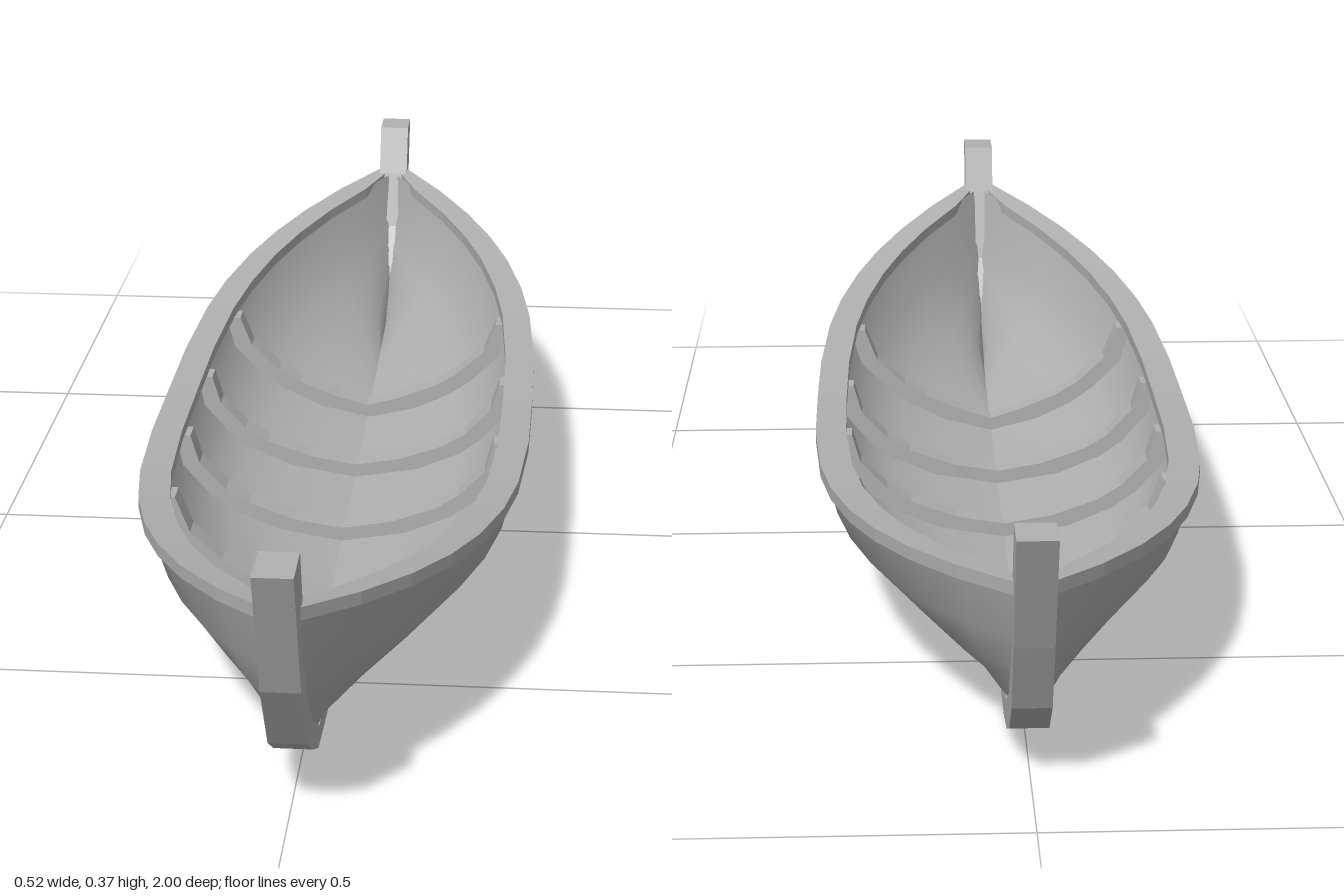
import * as THREE from 'three';

const wood = new THREE.MeshStandardMaterial({ color: 0xb0b0b0, side: THREE.DoubleSide });
wood.name = 'plain grey wood';

// Plank lines from keel to sheer: midship half width and height, then where each meets the stems
const LEVELS = [
  { x: 0.018, y: 0.020, front: [0.74, 0.040], back: [-0.75, 0.035], p: 2.0 },
  { x: 0.113, y: 0.038, front: [0.80, 0.080], back: [-0.82, 0.070], p: 1.8 },
  { x: 0.175, y: 0.067, front: [0.85, 0.125], back: [-0.87, 0.115], p: 2.0 },
  { x: 0.207, y: 0.094, front: [0.88, 0.160], back: [-0.89, 0.145], p: 2.2 },
  { x: 0.242, y: 0.139, front: [0.91, 0.215], back: [-0.92, 0.190], p: 2.6 },
  { x: 0.253, y: 0.197, front: [0.94, 0.302], back: [-0.94, 0.263], p: 3.0 },
];
const TOP = LEVELS.length - 1;
const STATIONS = [-1, -0.9, -0.8, -0.7, -0.6, -0.48, -0.36, -0.18, 0, 0.18, 0.36, 0.48, 0.6, 0.7, 0.8, 0.9, 1];

// Point on one plank line; t runs from the back stem (-1) to the front stem (1)
function hullPoint(i, t, inset = 0) {
  const l = LEVELS[i];
  const a = Math.min(1, Math.abs(t));
  const [endZ, endY] = t < 0 ? l.back : l.front;
  const x = 0.012 + (l.x - 0.012) * (1 - a ** l.p);
  const rise = a ** (i === TOP ? 2 : 2.6);
  const up = inset * (1 - i / TOP) * 0.8;
  return [Math.max(0, x - inset), l.y + (endY - l.y) * rise + up, a * endZ * (1 - inset)];
}

// Full cross-section from right sheer, under the keel, to left sheer
function section(pointAt) {
  const half = LEVELS.map((_, i) => pointAt(i));
  const right = half.map(([x, y, z]) => [-x, y, z]).reverse();
  return [...right, ...half];
}

// Joins rows of points into a surface; closed rows become a capped bar
function loft(rows, closed = false) {
  const n = rows[0].length;
  const index = [];
  for (let r = 0; r < rows.length - 1; r++) {
    for (let c = 0; c < (closed ? n : n - 1); c++) {
      const a = r * n + c, b = r * n + (c + 1) % n;
      index.push(a, b, a + n, b, b + n, a + n);
    }
  }
  if (closed) {
    const e = (rows.length - 1) * n;
    index.push(0, 2, 1, 0, 3, 2, e, e + 1, e + 2, e, e + 2, e + 3);
  }
  let g = new THREE.BufferGeometry();
  g.setAttribute('position', new THREE.Float32BufferAttribute(rows.flat(2), 3));
  g.setIndex(index);
  if (closed) g = g.toNonIndexed();
  g.computeVertexNormals();
  return g;
}

export function createModel() {
  const boat = new THREE.Group();
  boat.name = 'rowingBoat';
  const add = (name, geometry) => {
    const mesh = new THREE.Mesh(geometry, wood);
    mesh.name = name;
    boat.add(mesh);
  };

  // Outer and inner planking
  add('outerHull', loft(STATIONS.map(t => section(i => hullPoint(i, t)))));
  add('innerHull', loft(STATIONS.map(t => section(i => hullPoint(i, t, 0.02)).reverse())));

  // Rails capping both sides
  for (const side of [1, -1]) {
    const rows = STATIONS.map(t => {
      const [x, y, z] = hullPoint(TOP, t);
      const out = side * (x + 0.005), inn = side * Math.max(0.001, x - 0.036);
      const bar = [[out, y + 0.005, z], [out, y - 0.011, z], [inn, y - 0.011, z], [inn, y + 0.005, z]];
      return side > 0 ? bar : bar.reverse();
    });
    add(side > 0 ? 'leftRail' : 'rightRail', loft(rows, true));
  }

  // Keel with a raked stem at each end, drawn in the z-y plane
  const profile = [
    [1, 0.37], [0.93, 0.2], [0.86, 0.1], [0.8, 0.062], [0.73, 0.027], [0.57, 0.01],
    [-0.62, 0], [-0.68, 0.003], [-0.76, 0.02], [-0.83, 0.05], [-0.89, 0.1], [-0.935, 0.19], [-1, 0.337],
    [-0.94, 0.337], [-0.91, 0.265], [-0.88, 0.18], [-0.82, 0.09], [-0.74, 0.048], [-0.6, 0.027],
    [0.55, 0.027], [0.72, 0.052], [0.8, 0.1], [0.87, 0.19], [0.905, 0.295], [0.93, 0.37],
  ].map(([z, y]) => new THREE.Vector2(z, y));
  const keel = new THREE.ExtrudeGeometry(new THREE.Shape(profile), { depth: 0.046, bevelEnabled: false });
  keel.rotateY(-Math.PI / 2).translate(0.023, 0, 0);
  add('keelAndStems', keel);

  // Curved ribs across the inside
  for (const z of [0.375, 0.12, -0.115, -0.355]) {
    const curve = (dz, inset) => section(i => {
      const end = z < 0 ? -LEVELS[i].back[0] : LEVELS[i].front[0];
      const [x, y] = hullPoint(i, z / end, inset);
      return [x, y - (i === TOP ? 0.012 : 0), z + dz];
    });
    const [a, b, c, d] = [curve(-0.017, 0.012), curve(0.017, 0.012), curve(0.017, 0.044), curve(-0.017, 0.044)];
    add('rib', loft(a.map((_, k) => [a[k], b[k], c[k], d[k]]), true));
  }
  return boat;
}
